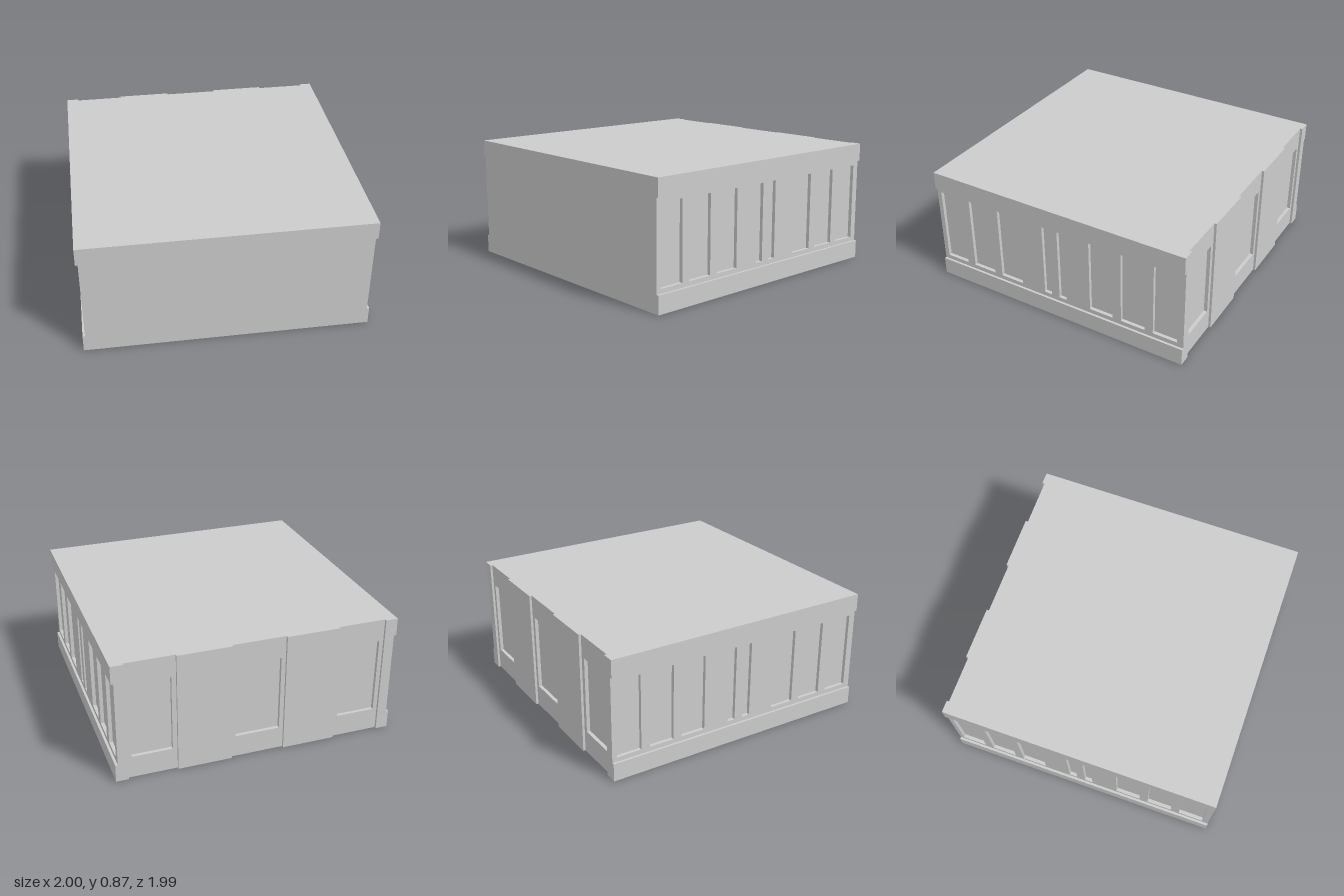
import * as THREE from 'three';

const H = 0.867;          // height
const HX = 1, HZ = 0.993; // half width, half depth
const STEP = 0.017;       // projection of bands and pilasters
const SINK = 0.025;       // depth of the sunken panels
const CORE_X = HX - STEP - SINK;
const CORE_Z = HZ - STEP - SINK;
const PANEL_Y = [0.16, 0.707];

export function createModel() {
  const model = new THREE.Group();
  const material = new THREE.MeshStandardMaterial({ color: 0xcccccc, flatShading: true });

  const add = (parent, name, geometry) => {
    const mesh = new THREE.Mesh(geometry, material);
    mesh.name = name;
    parent.add(mesh);
    return mesh;
  };

  // Box given by its extents on each axis
  const block = (parent, name, [x0, x1], [y0, y1], [z0, z1]) =>
    add(parent, name, new THREE.BoxGeometry(x1 - x0, y1 - y0, z1 - z0))
      .position.set((x0 + x1) / 2, (y0 + y1) / 2, (z0 + z1) / 2);

  const rectangle = (target, x0, x1, y0, y1) => target
    .moveTo(x0, y0).lineTo(x1, y0).lineTo(x1, y1).lineTo(x0, y1).closePath();

  // Wall facing +z, pierced by openings that show the core as sunken panels
  const panelledWall = (parent, half, openings, z) => {
    const shape = rectangle(new THREE.Shape(), -half, half, 0, H);
    for (const [a, b] of openings) shape.holes.push(rectangle(new THREE.Path(), a, b, ...PANEL_Y));
    add(parent, 'panelledWall', new THREE.ExtrudeGeometry(shape, { depth: SINK, bevelEnabled: false }))
      .position.z = z;
  };

  // Solid core with the plain front, top and bottom
  block(model, 'core', [-CORE_X, CORE_X], [0, H], [-CORE_Z, HZ]);

  // Side walls: eight sunken panels between a base band and a top band
  const sideOpenings = [
    [-0.959, -0.778], [-0.714, -0.533], [-0.469, -0.289], [-0.097, -0.039],
    [0.025, 0.084], [0.275, 0.456], [0.52, 0.701], [0.765, 0.945],
  ];
  for (const [name, turn] of [['leftSide', 1], ['rightSide', -1]]) {
    const side = new THREE.Group();
    side.name = name;
    panelledWall(side, HZ, sideOpenings, CORE_X);
    block(side, 'baseBand', [-HZ, HZ], [0, 0.128], [HX - STEP, HX]);
    block(side, 'topBand', [-HZ, HZ], [0.74, H], [HX - STEP, HX]);
    side.rotation.y = turn * Math.PI / 2;
    model.add(side);
  }

  // Back wall: three sunken panels between full-height pilasters
  const back = new THREE.Group();
  back.name = 'back';
  panelledWall(back, CORE_X, [[-0.883, -0.602], [-0.16, 0.16], [0.602, 0.883]], CORE_Z);
  for (const [a, b] of [[-CORE_X, -0.913], [-0.57, -0.19], [0.19, 0.57], [0.913, CORE_X]])
    block(back, 'pilaster', [a, b], [0, H], [HZ - STEP, HZ]);
  back.rotation.y = Math.PI;
  model.add(back);

  return model;
}
